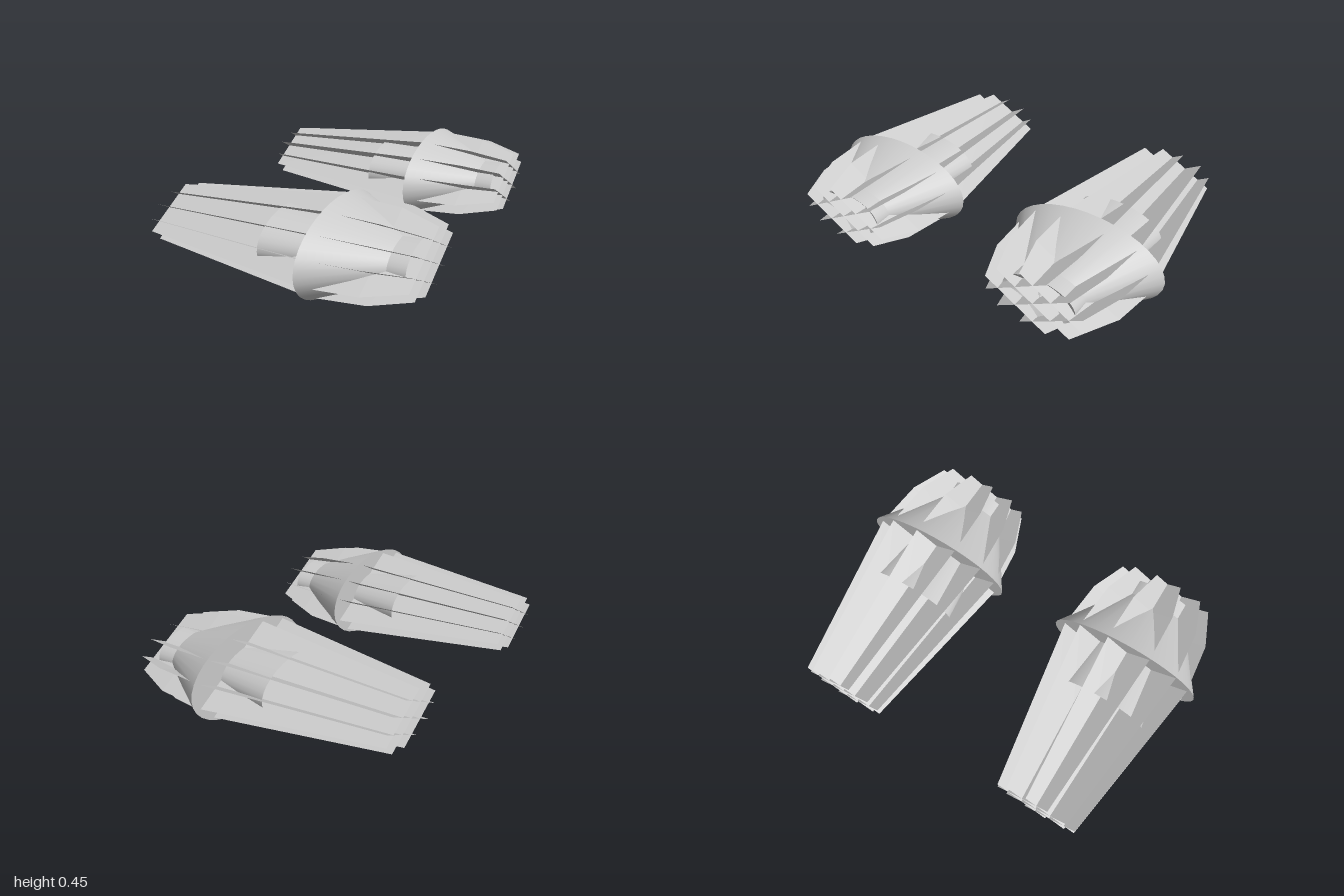
import * as THREE from 'three';

const material = new THREE.MeshStandardMaterial({ color: 0xcccccc, side: THREE.DoubleSide });
const flatMaterial = new THREE.MeshStandardMaterial({ color: 0xcccccc, side: THREE.DoubleSide, flatShading: true });

// stations along x: [x, half width of the middle sheet, half width of an outer sheet, outer sheet offset]
const stations = [
  [-0.69, 0.24, 0.2, 0.114],
  [0.22, 0.395, 0.341, 0.171],
  [0.49, 0.365, 0.317, 0.157],
  [0.685, 0.276, 0.234, 0.134],
];

// thin lengthwise sheet; side is -1, 0 or 1 for its place in the parallel stack
function sheetGeometry(side, angle) {
  const positions = [];
  const index = [];
  const c = Math.cos(angle), s = Math.sin(angle);
  stations.forEach(([x, middle, outer, offset], i) => {
    const half = side === 0 ? middle : outer;
    const d = offset * side;
    for (const w of [-half, half]) positions.push(x, w * s + d * c, w * c - d * s);
    if (i > 0) {
      const a = 2 * (i - 1);
      index.push(a, a + 1, a + 2, a + 1, a + 3, a + 2);
    }
  });
  const geometry = new THREE.BufferGeometry();
  geometry.setAttribute('position', new THREE.Float32BufferAttribute(positions, 3));
  geometry.setIndex(index);
  geometry.computeVertexNormals();
  return geometry;
}

// surface of revolution about x between [radius, x] points
function turned(name, points) {
  const geometry = new THREE.LatheGeometry(points.map(([r, x]) => new THREE.Vector2(r, x)), 36);
  geometry.rotateZ(-Math.PI / 2);
  const mesh = new THREE.Mesh(geometry, material);
  mesh.name = name;
  return mesh;
}

function createPod(name) {
  const pod = new THREE.Group();
  pod.name = name;

  // two crossing stacks of three sheets
  for (const angle of [Math.PI / 4, -Math.PI / 4]) {
    for (const side of [-1, 0, 1]) {
      const sheet = new THREE.Mesh(sheetGeometry(side, angle), flatMaterial);
      sheet.name = side === 0 ? 'middleSheet' : 'outerSheet';
      pod.add(sheet);
    }
  }

  // turned core: rear sleeve, flared cone and nozzle
  pod.add(
    turned('rearSleeve', [[0.257, -0.06], [0.213, 0.22]]),
    turned('coneBase', [[0.213, 0.22], [0.415, 0.22]]),
    turned('cone', [[0.415, 0.22], [0.195, 0.55]]),
    turned('nozzleRing', [[0.195, 0.55], [0.195, 0.64]]),
    turned('nozzleFunnel', [[0.195, 0.64], [0.06, 0.58]]),
    turned('nozzleHub', [[0.06, 0.58], [0.001, 0.63]]),
  );

  // flattened to an oval section
  pod.scale.y = 0.543;
  pod.position.y = 0.2255;
  return pod;
}

export function createModel() {
  const model = new THREE.Group();
  model.name = 'twinPods';
  for (const side of [1, -1]) {
    const pod = createPod(side > 0 ? 'frontPod' : 'backPod');
    pod.position.z = side * 0.585;
    model.add(pod);
  }
  return model;
}
